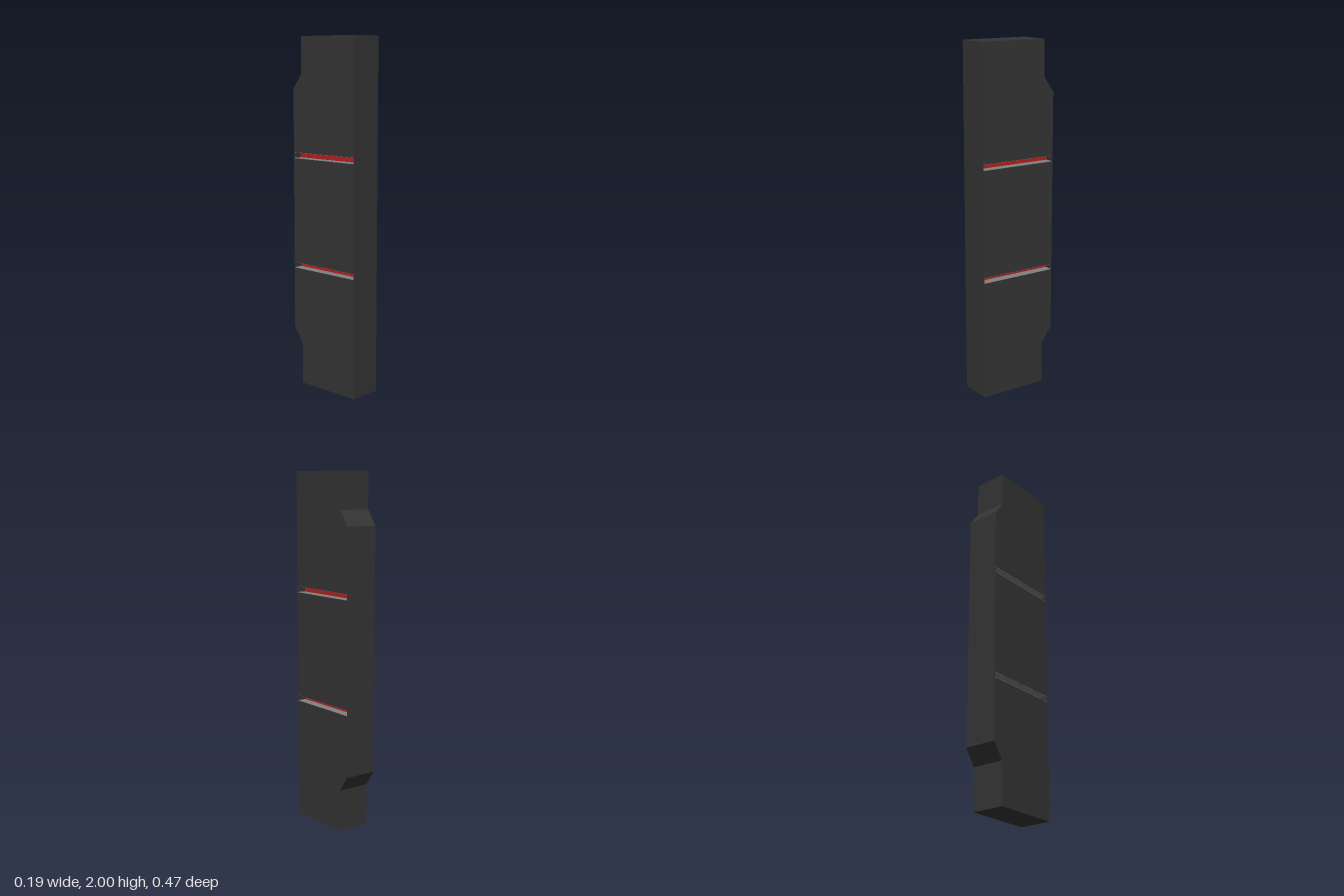
import * as THREE from 'three';

const W = 0.19, FRONT = 0.233, BACK = -0.233, NECK = -0.17;
const WALL = 0.003;      // thin skin closing each groove at front and back
const CORE = 0.09;       // width of the red core left between the grooves
const GROOVES = [[0.682, 0.715], [1.318, 1.353]];

export function createModel() {
  const model = new THREE.Group();
  const charcoal = new THREE.MeshStandardMaterial({ name: 'charcoal', color: 0x343434 });
  const red = new THREE.MeshStandardMaterial({ name: 'red', color: 0xb42020 });
  const grey = new THREE.MeshStandardMaterial({ name: 'grey', color: 0x808080 });

  function add(name, geometry, material) {
    const mesh = new THREE.Mesh(geometry, material);
    mesh.name = name;
    model.add(mesh);
    return mesh;
  }
  function box(name, material, w, y0, y1, z0, z1, x = 0) {
    add(name, new THREE.BoxGeometry(w, y1 - y0, z1 - z0), material)
      .position.set(x, (y0 + y1) / 2, (z0 + z1) / 2);
  }
  // Side profile given as [z, y], extruded across the width
  function slab(name, points) {
    const shape = new THREE.Shape(points.map(([z, y]) => new THREE.Vector2(-z, y)));
    const geometry = new THREE.ExtrudeGeometry(shape, { depth: W, bevelEnabled: false });
    geometry.translate(0, 0, -W / 2).rotateY(Math.PI / 2);
    add(name, geometry, charcoal);
  }

  // Three body sections, the outer two with a stepped-in back
  const [low, high] = GROOVES;
  slab('lowerBody', [[FRONT, 0], [NECK, 0], [NECK, 0.24], [BACK, 0.33], [BACK, low[0]], [FRONT, low[0]]]);
  slab('middleBody', [[FRONT, low[1]], [BACK, low[1]], [BACK, high[0]], [FRONT, high[0]]]);
  slab('upperBody', [[FRONT, high[1]], [BACK, high[1]], [BACK, 1.71], [NECK, 1.795], [NECK, 2], [FRONT, 2]]);

  // Grooves on both sides: red core, grey linings and closed ends
  for (const [y0, y1] of GROOVES) {
    box('grooveCore', red, CORE, y0, y1, BACK + WALL, FRONT - WALL);
    box('grooveFrontEnd', charcoal, W, y0, y1, FRONT - WALL, FRONT);
    box('grooveBackEnd', charcoal, W, y0, y1, BACK, BACK + WALL);
    const depth = (W - CORE) / 2;
    for (const side of [-1, 1]) {
      const x = side * (CORE + depth) / 2;
      box('grooveFloor', grey, depth, y0, y0 + 0.002, BACK + WALL, FRONT - WALL, x);
      box('grooveCeiling', grey, depth, y1 - 0.001, y1, BACK + WALL, FRONT - WALL, x);
    }
  }
  return model;
}
